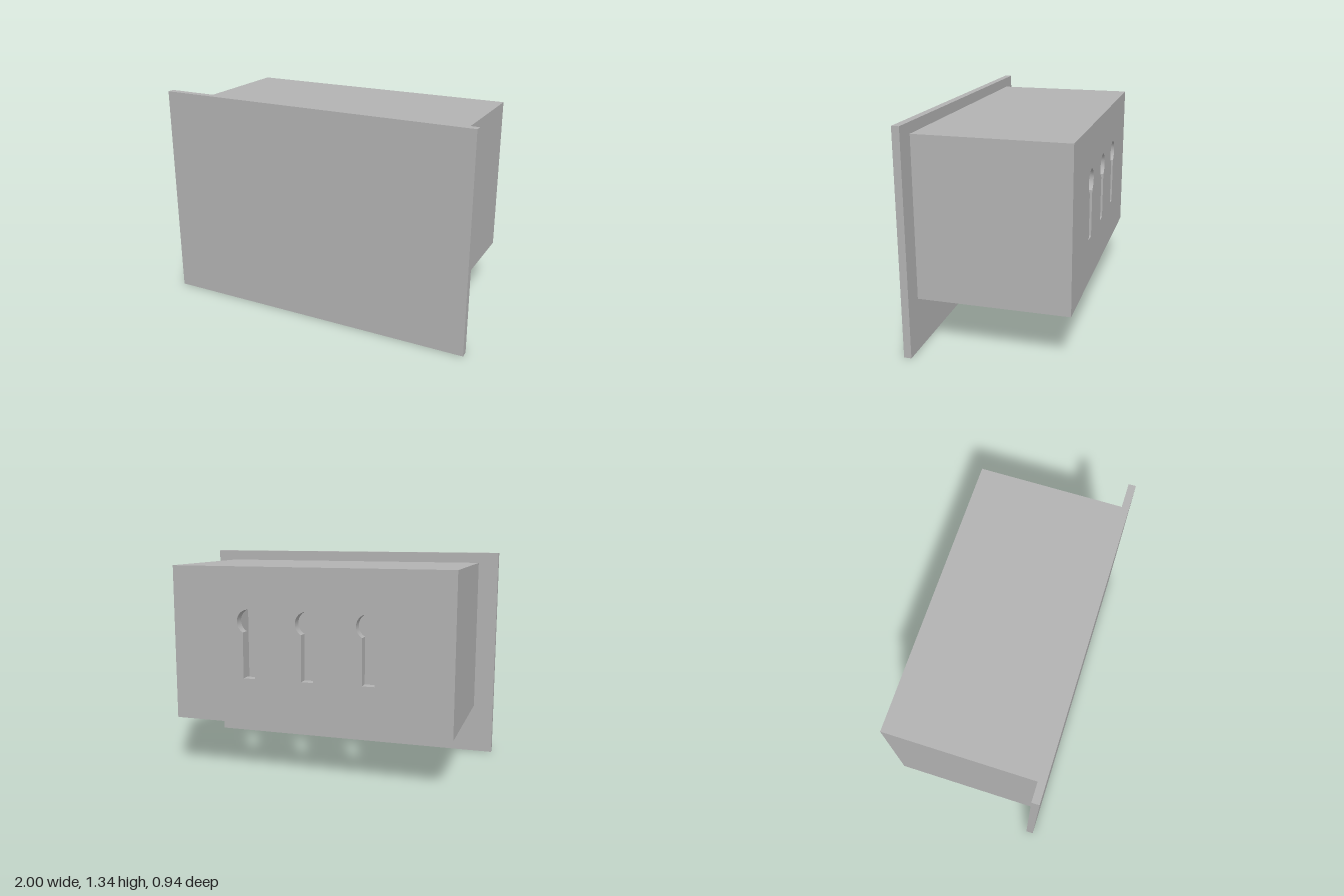
import * as THREE from 'three';

const W = 0.875, BOTTOM = 0.315, TOP = 1.275;   // housing outline
const BACK = -0.47, PLATE_BACK = 0.425, FRONT = 0.47;
const SIDE = 0.09, REAR = 0.06, ROOF = 0.045;   // wall thicknesses

// Round hole with a narrower slot hanging below it
function keyhole(x) {
  const r = 0.075, cy = 0.943, slotBottom = 0.595, half = r / 2;
  const path = new THREE.Path();
  path.moveTo(x - half, slotBottom);
  path.lineTo(x + half, slotBottom);
  path.absarc(x, cy, r, -Math.PI / 3, Math.PI * 4 / 3, false);
  path.closePath();
  return path;
}

function polygon(points) {
  return new THREE.Shape(points.map(([x, y]) => new THREE.Vector2(x, y)));
}

function extrude(shape, z0, z1) {
  const geo = new THREE.ExtrudeGeometry(shape, { depth: z1 - z0, bevelEnabled: false, curveSegments: 32 });
  return geo.translate(0, 0, z0);
}

export function createModel() {
  const model = new THREE.Group();
  model.name = 'wallBox';
  const grey = new THREE.MeshStandardMaterial({ color: 0xb2b2b2 });
  grey.name = 'grey';

  const add = (name, geometry) => {
    const mesh = new THREE.Mesh(geometry, grey);
    mesh.name = name;
    model.add(mesh);
  };

  // Wide front plate
  const plate = new THREE.BoxGeometry(2, 1.34, FRONT - PLATE_BACK);
  add('frontPlate', plate.translate(0, 0.67, (FRONT + PLATE_BACK) / 2));

  // Side walls and roof in one piece, open underneath
  const inner = W - SIDE;
  const shell = polygon([
    [-W, BOTTOM], [-inner, BOTTOM], [-inner, TOP - ROOF], [inner, TOP - ROOF],
    [inner, BOTTOM], [W, BOTTOM], [W, TOP], [-W, TOP],
  ]);
  add('sidesAndRoof', extrude(shell, BACK + REAR, PLATE_BACK));

  // Rear wall with three hanging keyholes
  const rear = polygon([[-W, BOTTOM], [W, BOTTOM], [W, TOP], [-W, TOP]]);
  for (const x of [-0.375, 0, 0.375]) rear.holes.push(keyhole(x));
  add('rearWall', extrude(rear, BACK, BACK + REAR));

  return model;
}
